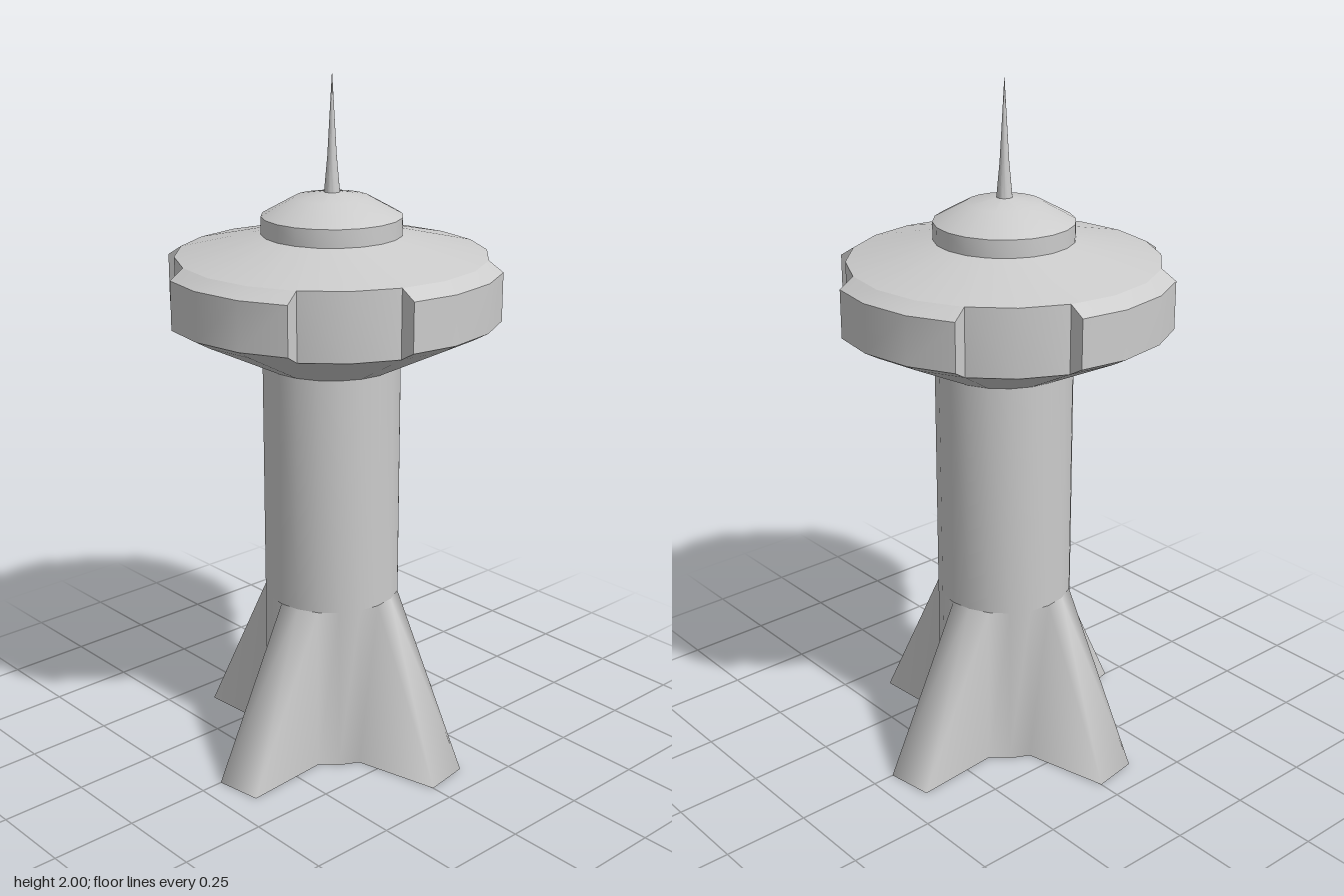
import * as THREE from 'three';
import { mergeVertices, toCreasedNormals } from 'three/addons/utils/BufferGeometryUtils.js';

const SIDES = 20, STEP = (Math.PI * 2) / SIDES;
const SHAFT_R = 0.197, RIM_R = 0.436, BLOCK_R = 0.48, FOOT_R = 0.435;
const material = new THREE.MeshStandardMaterial({ color: 0xcccccc });

// point on a circle, angle counted in facets from +z towards +x
const ring = (facet, r) => [Math.sin(facet * STEP) * r, Math.cos(facet * STEP) * r];
// every quarter turn, facet corners 0 and 1 flare out into a fin
const footRadius = (i) => (i % 5 < 2 ? FOOT_R : SHAFT_R);

function part(group, name, geometry) {
  const mesh = new THREE.Mesh(geometry, material);
  mesh.name = name;
  group.add(mesh);
  return mesh;
}

function lathe(points, crease = 0.55) {
  const profile = points.map(([r, y]) => new THREE.Vector2(r, y));
  return toCreasedNormals(new THREE.LatheGeometry(profile, SIDES), crease);
}

// shaft whose lower section spreads into four fins
function finnedBase() {
  const geo = new THREE.CylinderGeometry(SHAFT_R, SHAFT_R, 0.495, SIDES, 1, true);
  geo.translate(0, 0.2475, 0);
  const p = geo.attributes.position;
  for (let i = 0; i < p.count; i++) {
    if (p.getY(i) > 0.1) continue;
    const facet = Math.round(Math.atan2(p.getX(i), p.getZ(i)) / STEP + SIDES) % SIDES;
    const [x, z] = ring(facet, footRadius(facet));
    p.setXYZ(i, x, 0, z);
  }
  geo.deleteAttribute('normal');
  geo.deleteAttribute('uv');
  const smooth = mergeVertices(geo, 1e-4);
  smooth.computeVertexNormals();
  return smooth;
}

// cross-shaped sole closing the underside
function sole() {
  const shape = new THREE.Shape();
  for (let i = 0; i < SIDES; i++) {
    const [x, z] = ring(i, footRadius(i));
    if (i) shape.lineTo(x, z);
    else shape.moveTo(x, z);
  }
  return new THREE.ShapeGeometry(shape).rotateX(Math.PI / 2);
}

// raised rim block spanning three facets, ends splayed like its neighbours
function rimBlock() {
  const geo = new THREE.BoxGeometry(3, 1, 1, 3, 1, 1);
  const p = geo.attributes.position;
  for (let i = 0; i < p.count; i++) {
    const facet = Math.round(p.getX(i) + 1.5) - 1; // -1, 0, 1, 2
    const outer = p.getZ(i) > 0, top = p.getY(i) > 0;
    let [x, z] = ring(facet, RIM_R);
    if (outer) {
      const [dx, dz] = ring(THREE.MathUtils.clamp(facet, 0, 1), BLOCK_R - RIM_R);
      x += dx;
      z += dz;
    }
    p.setXYZ(i, x, top ? (outer ? 1.472 : 1.5) : (outer ? 1.335 : 1.31), z);
  }
  return toCreasedNormals(geo, 0.45);
}

export function createModel() {
  const group = new THREE.Group();
  group.name = 'tower';

  part(group, 'finnedBase', finnedBase());
  part(group, 'sole', sole());
  part(group, 'shaft', lathe([[SHAFT_R, 0.495], [SHAFT_R, 1.19]]));

  // round deck with sloped underside and roof
  part(group, 'deck', lathe([
    [SHAFT_R, 1.19], [RIM_R, 1.31], [RIM_R, 1.5], [SHAFT_R, 1.557],
  ]));
  for (let i = 0; i < 4; i++) {
    part(group, 'rimBlock' + (i + 1), rimBlock()).rotation.y = (i * Math.PI) / 2;
  }

  // low cap and tapering mast
  part(group, 'cap', lathe([
    [SHAFT_R, 1.557], [SHAFT_R, 1.607], [0.105, 1.658], [0.022, 1.672],
  ]));
  part(group, 'mast', lathe([[0.022, 1.672], [0.013, 1.77], [0, 2]]));

  return group;
}
